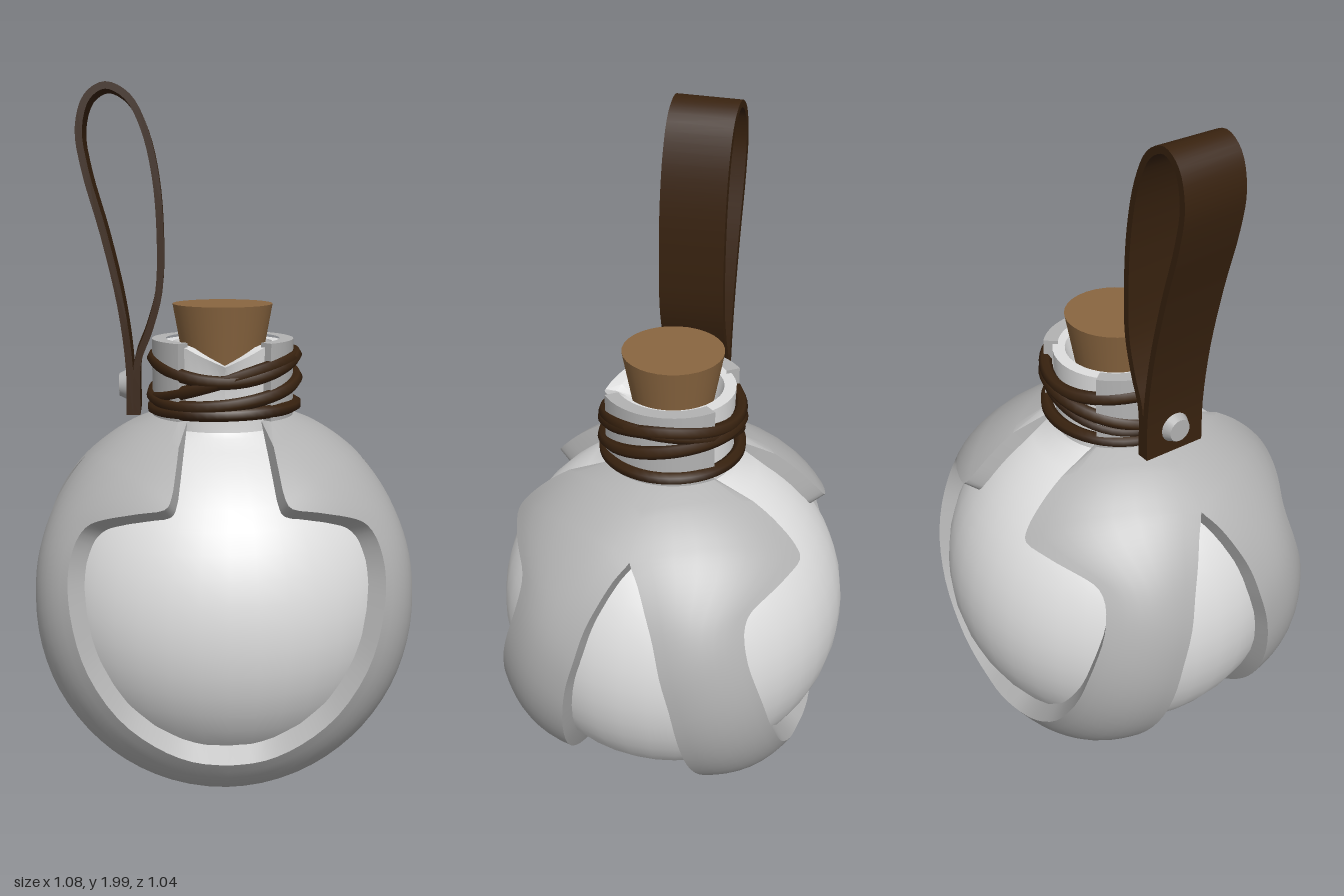
import * as THREE from 'three';
import { toCreasedNormals } from 'three/addons/utils/BufferGeometryUtils.js';

const V = (x, y, z) => new THREE.Vector3(x, y, z);
const mat = (name, color) => {
  const m = new THREE.MeshStandardMaterial({ color });
  m.name = name;
  return m;
};

export function createModel() {
  const glass = mat('pale glass', 0xdedede);
  const casing = mat('grey casing', 0xb2b2b2);
  const cork = mat('cork', 0x8a6640);
  const leather = mat('dark leather', 0x38220f);

  const group = new THREE.Group();
  const add = (name, geometry, material) => {
    const m = new THREE.Mesh(geometry, material);
    m.name = name;
    group.add(m);
    return m;
  };

  // Round flask with a neck; the rim dips into a small spout at the front
  const profile = [];
  for (let i = 0; i <= 22; i++) {
    const a = -Math.PI / 2 + (i / 22) * (Math.PI / 2 + 1.2);
    profile.push(new THREE.Vector2(Math.max(0, 0.52 * Math.cos(a)), 0.53 + 0.52 * Math.sin(a)));
  }
  [[0.175, 1.03], [0.175, 1.15], [0.18, 1.27], [0.145, 1.27], [0.125, 1.2], [0.0, 1.2]]
    .forEach(([r, y]) => profile.push(new THREE.Vector2(r, y)));
  const flask = new THREE.LatheGeometry(profile, 40);
  const fp = flask.attributes.position;
  for (let i = 0; i < fp.count; i++) {
    const x = fp.getX(i), y = fp.getY(i), z = fp.getZ(i);
    if (y < 1.22) continue;
    const k = Math.max(0, 1 - Math.abs(Math.atan2(x, z)) / 0.7);
    fp.setXYZ(i, x, y - 0.05 * k, z + 0.025 * k);
  }
  add('flask', toCreasedNormals(flask, 0.6), glass);

  // Casing: one quarter between the side notch edge and the window edge, mirrored four ways
  const CY = 0.54;
  const notch = [[59, 0], [52, 0], [47, 0], [44, 0], [38, 0.035], [30, 0.07], [22, 0.1], [12, 0.125],
    [0, 0.155], [-14, 0.175], [-28, 0.19], [-42, 0.205], [-56, 0.215], [-72, 0.22], [-90, 0.22]];
  const windowEdge = [[0.13, 1.01], [0.14, 0.95], [0.15, 0.9], [0.17, 0.87], [0.24, 0.855],
    [0.33, 0.83], [0.385, 0.8], [0.42, 0.74], [0.435, 0.65], [0.42, 0.53], [0.38, 0.41],
    [0.3, 0.29], [0.2, 0.21], [0.1, 0.165], [0, 0.155]];
  const curve = (list) => new THREE.CatmullRomCurve3(list.map(([a, b]) => V(a, b, 0)), false, 'catmullrom', 0.5);
  const cA = curve(notch), cB = curve(windowEdge);
  const ROWS = 42, COLS = 8, TIP = 9;
  const rows = [], inner = [];
  const addRow = (a, b, centre, bulge, innerRadius) => {
    const da = a.clone().sub(centre), db = b.clone().sub(centre);
    const ra = da.length(), rb = db.length();
    const row = [], inn = [];
    for (let j = 0; j <= COLS; j++) {
      const t = j / COLS;
      const d = da.clone().normalize().lerp(db.clone().normalize(), t).normalize();
      const r = ra + (rb - ra) * t + bulge * Math.sin(Math.PI * t);
      row.push(d.clone().multiplyScalar(r).add(centre));
      inn.push(d.multiplyScalar(innerRadius).add(centre));
    }
    rows.push(row);
    inner.push(inn);
  };
  [1.28, 1.16, 1.06].forEach((y) => addRow(V(0.205, y, 0), V(0.13, y, 0.16), V(0, y, 0), 0, 0.165));
  for (let i = 0; i <= ROWS; i++) {
    const u = i / ROWS;
    const pa = cA.getPoint(u), pb = cB.getPoint(u);
    const phi = THREE.MathUtils.degToRad(pa.x);
    const z = i <= TIP ? 0 : Math.max(0, pa.y);
    const R = 0.563 + 0.019 * Math.max(0, -Math.sin(phi));
    const q = Math.sqrt(R * R - z * z);
    const a = V(i === ROWS ? 0 : q * Math.cos(phi), CY + q * Math.sin(phi), z);
    const Rb = 0.56 + 0.025 * u;
    const bx = Math.max(0, pb.x), by = pb.y;
    const b = V(bx, by, Math.sqrt(Math.max(0, Rb * Rb - bx * bx - (by - CY) ** 2)));
    addRow(a, b, V(0, CY, 0), 0.014 * Math.min(1, u * 2), 0.512);
  }
  const from = 3 + TIP;
  const patches = [
    rows,
    rows.map((r, i) => [r[COLS], inner[i][COLS]]),
    rows.slice(from).map((r, i) => [inner[from + i][0], r[0]]),
    [inner[0], rows[0]],
  ];
  const pos = [];
  for (const sx of [1, -1]) for (const sz of [1, -1]) {
    const tri = (a, b, c) => {
      for (const p of sx * sz > 0 ? [a, b, c] : [a, c, b]) pos.push(p.x * sx, p.y, p.z * sz);
    };
    for (const g of patches) for (let i = 0; i < g.length - 1; i++) for (let j = 0; j < g[i].length - 1; j++) {
      tri(g[i][j], g[i][j + 1], g[i + 1][j]);
      tri(g[i][j + 1], g[i + 1][j + 1], g[i + 1][j]);
    }
  }
  const shell = new THREE.BufferGeometry();
  shell.setAttribute('position', new THREE.Float32BufferAttribute(pos, 3));
  add('casing', toCreasedNormals(shell, 0.65), casing);

  // Tapered stopper
  add('stopper', new THREE.CylinderGeometry(0.145, 0.11, 0.19, 32), cork).position.y = 1.285;

  // Cords wound round the neck, each with its own tilt
  const cord = (name, y0, tiltX, tiltZ, wave, r) => {
    const pts = [];
    for (let i = 0; i < 20; i++) {
      const a = (i / 20) * Math.PI * 2, c = Math.cos(a), s = Math.sin(a);
      pts.push(V(0.005 + r * 1.06 * c, y0 + tiltX * c + tiltZ * s + wave * Math.cos(2 * a), r * s));
    }
    add(name, new THREE.TubeGeometry(new THREE.CatmullRomCurve3(pts, true), 48, 0.019, 6, true), leather);
  };
  cord('lowerCord', 1.085, 0.005, 0, 0, 0.195);
  cord('middleCord', 1.145, 0.025, -0.035, 0, 0.197);
  cord('upperCord', 1.21, 0.005, -0.015, 0.02, 0.195);
  cord('crossingCord', 1.17, 0.06, 0.01, 0, 0.192);

  // Leather carrying loop: a ribbon of even thickness
  const path = new THREE.CatmullRomCurve3([[-0.268, 1.07], [-0.268, 1.2], [-0.29, 1.38], [-0.335, 1.58],
    [-0.385, 1.76], [-0.4, 1.87], [-0.375, 1.955], [-0.325, 1.985], [-0.265, 1.955], [-0.22, 1.87],
    [-0.19, 1.74], [-0.178, 1.58], [-0.183, 1.42], [-0.212, 1.31], [-0.245, 1.22], [-0.248, 1.07]]
    .map(([x, y]) => V(x, y, 0)));
  const outside = [], inside = [];
  for (let i = 0; i <= 60; i++) {
    const p = path.getPoint(i / 60), t = path.getTangent(i / 60);
    outside.push(new THREE.Vector2(p.x - t.y * 0.01, p.y + t.x * 0.01));
    inside.unshift(new THREE.Vector2(p.x + t.y * 0.01, p.y - t.x * 0.01));
  }
  const strap = new THREE.ExtrudeGeometry(new THREE.Shape([...outside, ...inside]),
    { depth: 0.19, bevelEnabled: false });
  strap.translate(0, 0, -0.095);
  add('carryingLoop', toCreasedNormals(strap, 0.6), leather);

  // Rivet holding the loop ends together
  const rivet = add('rivet', new THREE.CylinderGeometry(0.033, 0.045, 0.025, 20), casing);
  rivet.rotation.z = Math.PI / 2;
  rivet.position.set(-0.288, 1.145, 0);

  return group;
}
